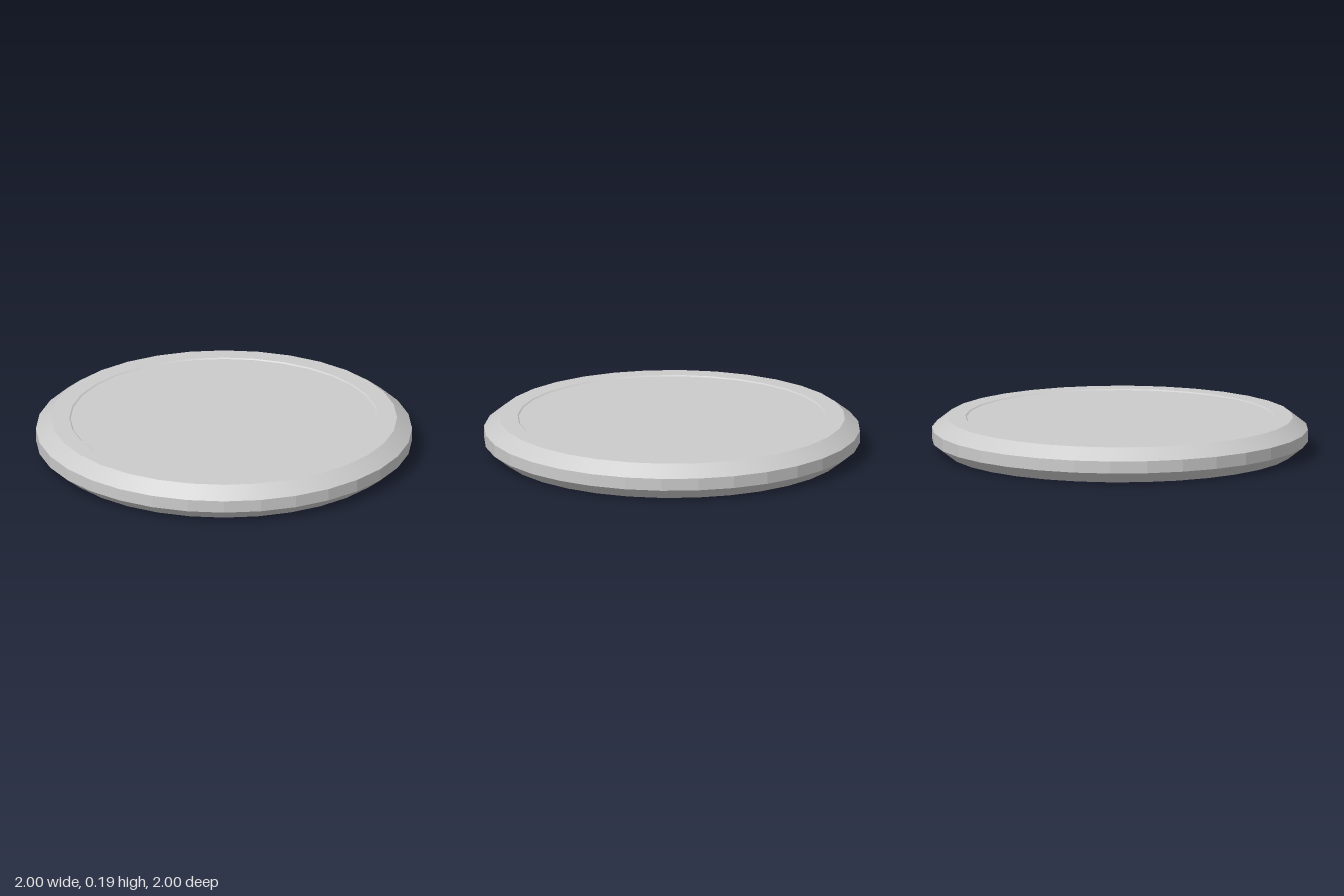
import * as THREE from 'three';

const SIDES = 32;

export function createModel() {
  const model = new THREE.Group();
  const smooth = new THREE.MeshStandardMaterial({ color: 0xcccccc });
  const faceted = new THREE.MeshStandardMaterial({ color: 0xcccccc, flatShading: true });

  // Rim: eight-sided section, one band per side so the edges stay crisp
  const rim = new THREE.Group();
  rim.name = 'rim';
  const section = [
    [0.92, 0], [1, 0.062], [1, 0.127], [0.92, 0.189],
    [0.822, 0.189], [0.745, 0.127], [0.745, 0.062], [0.822, 0],
  ].map(([r, y]) => new THREE.Vector2(r, y));
  const names = [
    'outerLowerBevel', 'outerWall', 'outerUpperBevel', 'topFace',
    'innerUpperBevel', 'innerWall', 'innerLowerBevel', 'bottomFace',
  ];
  names.forEach((name, i) => {
    const points = [section[i], section[(i + 1) % section.length]];
    const band = new THREE.Mesh(
      new THREE.LatheGeometry(points, SIDES),
      name === 'outerWall' ? faceted : smooth
    );
    band.name = name;
    rim.add(band);
  });
  model.add(rim);

  // Thin plate closing the ring just below its top face
  const plate = new THREE.Mesh(new THREE.CylinderGeometry(0.817, 0.817, 0.005, SIDES), smooth);
  plate.name = 'plate';
  plate.position.y = 0.181;
  model.add(plate);

  return model;
}
